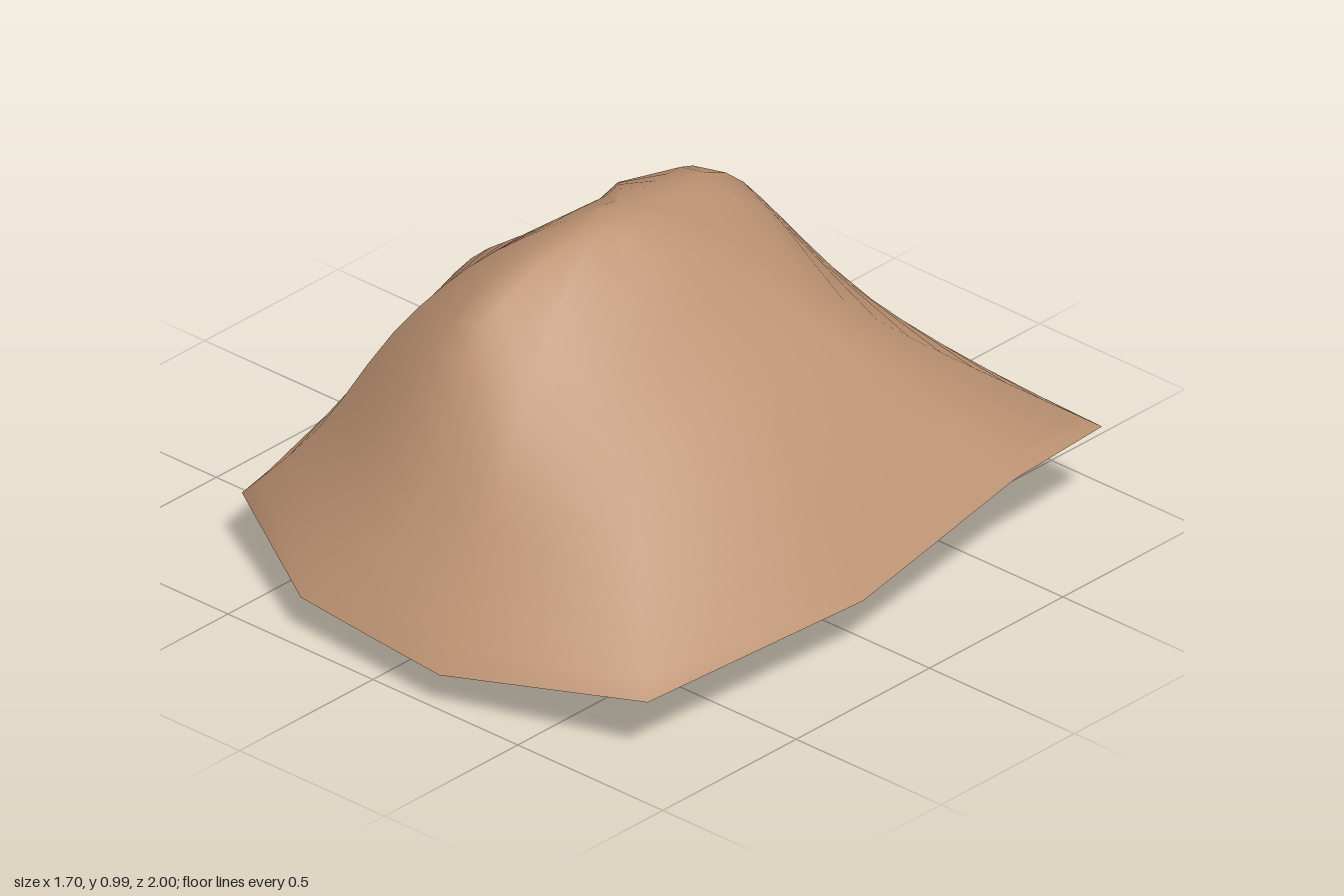
import * as THREE from 'three';

const APEX = [0, 0.985, 0.07];
const STATIONS = [0.06, 0.2, 0.4, 0.6, 0.8, 1];
const RINGS = 15;

// One spoke per rim point: rim x, y, z, then the heights at 20, 40, 60 and 80 % of the way out
const SPOKES = [
  [0.23, 0.10, 1.00, 0.94, 0.80, 0.58, 0.31],
  [0.81, 0.18, 0.85, 0.87, 0.67, 0.49, 0.33],
  [0.845, 0.17, 0.08, 0.91, 0.73, 0.59, 0.40],
  [0.81, 0.26, -0.53, 0.91, 0.76, 0.60, 0.43],
  [0.795, 0.265, -0.87, 0.90, 0.73, 0.56, 0.41],
  [0.20, 0.18, -1.00, 0.95, 0.85, 0.60, 0.38],
  [-0.07, 0.14, -0.99, 0.96, 0.905, 0.69, 0.43],
  [-0.345, 0.10, -0.98, 0.955, 0.885, 0.68, 0.42],
  [-0.78, 0.147, -0.745, 0.93, 0.80, 0.58, 0.34],
  [-0.765, 0.123, -0.48, 0.92, 0.78, 0.59, 0.34],
  [-0.85, 0.12, 0.08, 0.91, 0.78, 0.65, 0.43],
  [-0.70, 0.165, 0.73, 0.93, 0.82, 0.63, 0.35],
  [-0.29, 0.11, 0.955, 0.96, 0.89, 0.72, 0.38],
  [-0.05, 0.105, 0.977, 0.96, 0.90, 0.77, 0.39],
];

function surface(name, positions, index, material) {
  const geometry = new THREE.BufferGeometry();
  geometry.setAttribute('position', new THREE.Float32BufferAttribute(positions, 3));
  geometry.setIndex(index);
  geometry.computeVertexNormals();
  const mesh = new THREE.Mesh(geometry, material);
  mesh.name = name;
  return mesh;
}

// Smooth mound: a small flat peak with curved spokes running down to the rim
function buildSlopes(material) {
  const n = SPOKES.length;
  const positions = [...APEX];
  const index = [];
  const curves = SPOKES.map(([x, y, z, ...heights]) => new THREE.SplineCurve(
    [0.98, ...heights, y].map((h, k) => new THREE.Vector2(STATIONS[k], h))));
  for (let r = 0; r <= RINGS; r++) {
    SPOKES.forEach(([x, , z], i) => {
      const p = curves[i].getPoint(r / RINGS);
      positions.push(x * p.x, p.y, THREE.MathUtils.lerp(APEX[2], z, p.x));
    });
  }
  for (let i = 0; i < n; i++) {
    const j = (i + 1) % n;
    index.push(0, 1 + i, 1 + j);
    for (let r = 0; r < RINGS; r++) {
      const a = 1 + r * n + i, b = 1 + r * n + j;
      index.push(a, a + n, b + n, a, b + n, b);
    }
  }
  return surface('moundSlopes', positions, index, material);
}

// Shallow underside: the rim falls to a short keel on the ground
function buildUnderside(material) {
  const n = SPOKES.length;
  const positions = SPOKES.flatMap((s) => s.slice(0, 3));
  positions.push(-0.3, 0, 0.08, 0.24, 0, 0.08);
  const index = [];
  const keel = (i) => (SPOKES[i][0] > 0 ? n + 1 : n);
  for (let i = 0; i < n; i++) {
    const j = (i + 1) % n;
    index.push(j, i, keel(i));
    if (keel(i) !== keel(j)) index.push(j, keel(i), keel(j));
  }
  return surface('moundUnderside', positions, index, material);
}

export function createModel() {
  const group = new THREE.Group();
  group.name = 'mound';
  const earth = new THREE.MeshStandardMaterial({ color: 0xbc9272 });
  group.add(buildSlopes(earth), buildUnderside(earth));
  return group;
}
